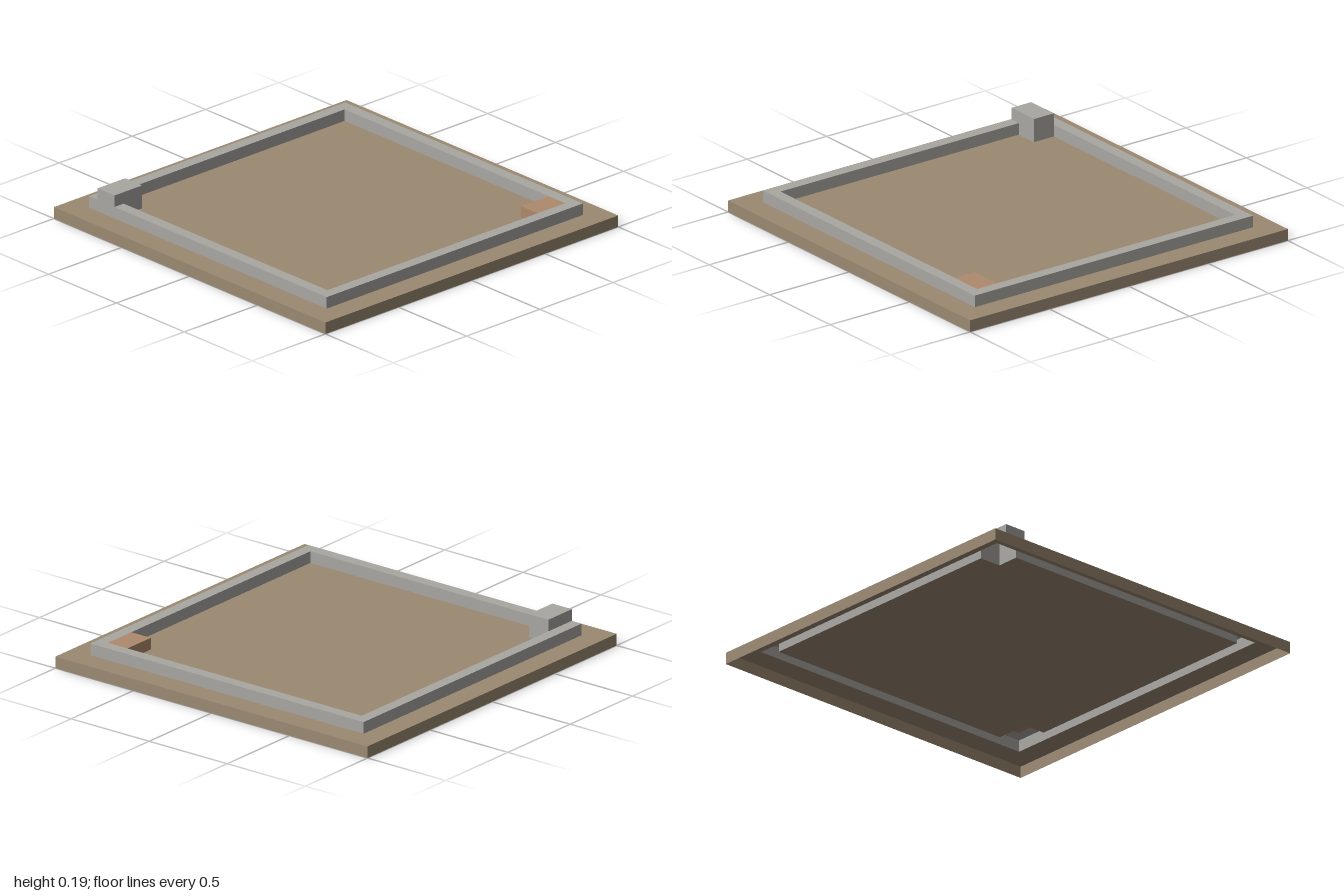
import * as THREE from 'three';
import { mergeGeometries } from 'three/addons/utils/BufferGeometryUtils.js';

// All points are [x, z] pairs on a grid of 1/16 unit.
const U = 1 / 16;
const A = 13 * U, B = 11 * U, C = 10 * U, E = 14 * U;

// Upright faces along a path; the outside lies to the right of the direction of travel.
function wall(path, y0, y1) {
  const pos = [], uv = [], index = [];
  for (let i = 0; i + 1 < path.length; i++) {
    const [px, pz] = path[i], [qx, qz] = path[i + 1], n = i * 4;
    pos.push(px, y0, pz, qx, y0, qz, qx, y1, qz, px, y1, pz);
    uv.push(0, 0, 1, 0, 1, 1, 0, 1);
    index.push(n, n + 1, n + 2, n, n + 2, n + 3);
  }
  const g = new THREE.BufferGeometry();
  g.setAttribute('position', new THREE.Float32BufferAttribute(pos, 3));
  g.setAttribute('uv', new THREE.Float32BufferAttribute(uv, 2));
  g.setIndex(index);
  g.computeVertexNormals();
  return g;
}

// Flat upward face, optionally with a hole.
function cap(points, y, hole) {
  const toV2 = (p) => p.map(([x, z]) => new THREE.Vector2(x, -z));
  const shape = new THREE.Shape(toV2(points));
  if (hole) shape.holes.push(new THREE.Path(toV2(hole)));
  return new THREE.ShapeGeometry(shape).rotateX(-Math.PI / 2).translate(0, y, 0);
}

const square = (s) => [[-s, s], [s, s], [s, -s], [-s, -s]];
const closed = (p) => [...p, p[0]];

function part(name, color, pieces) {
  const material = new THREE.MeshStandardMaterial({ color, side: THREE.DoubleSide });
  const mesh = new THREE.Mesh(mergeGeometries(pieces), material);
  mesh.name = name;
  return mesh;
}

export function createModel() {
  const model = new THREE.Group();
  model.name = 'walledPlot';
  const y1 = U, y2 = 2 * U, y3 = 3 * U;

  // Base: open underneath, its top cut away below the hollow frame and blocks
  const floor = [[-B, -A], [A, -A], [A, B], [C, B], [C, A], [-A, A], [-A, -B], [-B, -B]];
  model.add(part('base', 0x9b8a72, [
    wall(closed(square(1)), 0, y1),
    cap(square(1), y1, square(E)),
    cap(floor, y1),
  ]));

  // Low border wall
  const borderTop = [
    [-E, -E], [E, -E], [E, E], [-E, E], [-E, -B],
    [-A, -B], [-A, A], [A, A], [A, -A], [-E, -A],
  ];
  model.add(part('borderWall', 0xa9a7a2, [
    wall(closed(square(E)), y1, y2),
    wall([[-B, -A], [A, -A], [A, B]], y1, y2),
    wall([[C, A], [-A, A], [-A, -B]], y1, y2),
    cap(borderTop, y2),
  ]));

  // Raised block at the back corner, straddling the border wall
  model.add(part('raisedCornerBlock', 0xa9a7a2, [
    wall([[-A, -B], [-B, -B], [-B, -A]], y1, y3),
    wall([[-B, -A], [-E, -A], [-E, -B], [-A, -B]], y2, y3),
    cap([[-E, -A], [-B, -A], [-B, -B], [-E, -B]], y3),
  ]));

  // Brown block in the front corner, level with the border wall
  model.add(part('brownCornerBlock', 0xae8a6c, [
    wall([[A, B], [C, B], [C, A]], y1, y2),
    cap([[C, B], [A, B], [A, A], [C, A]], y2),
  ]));

  return model;
}
